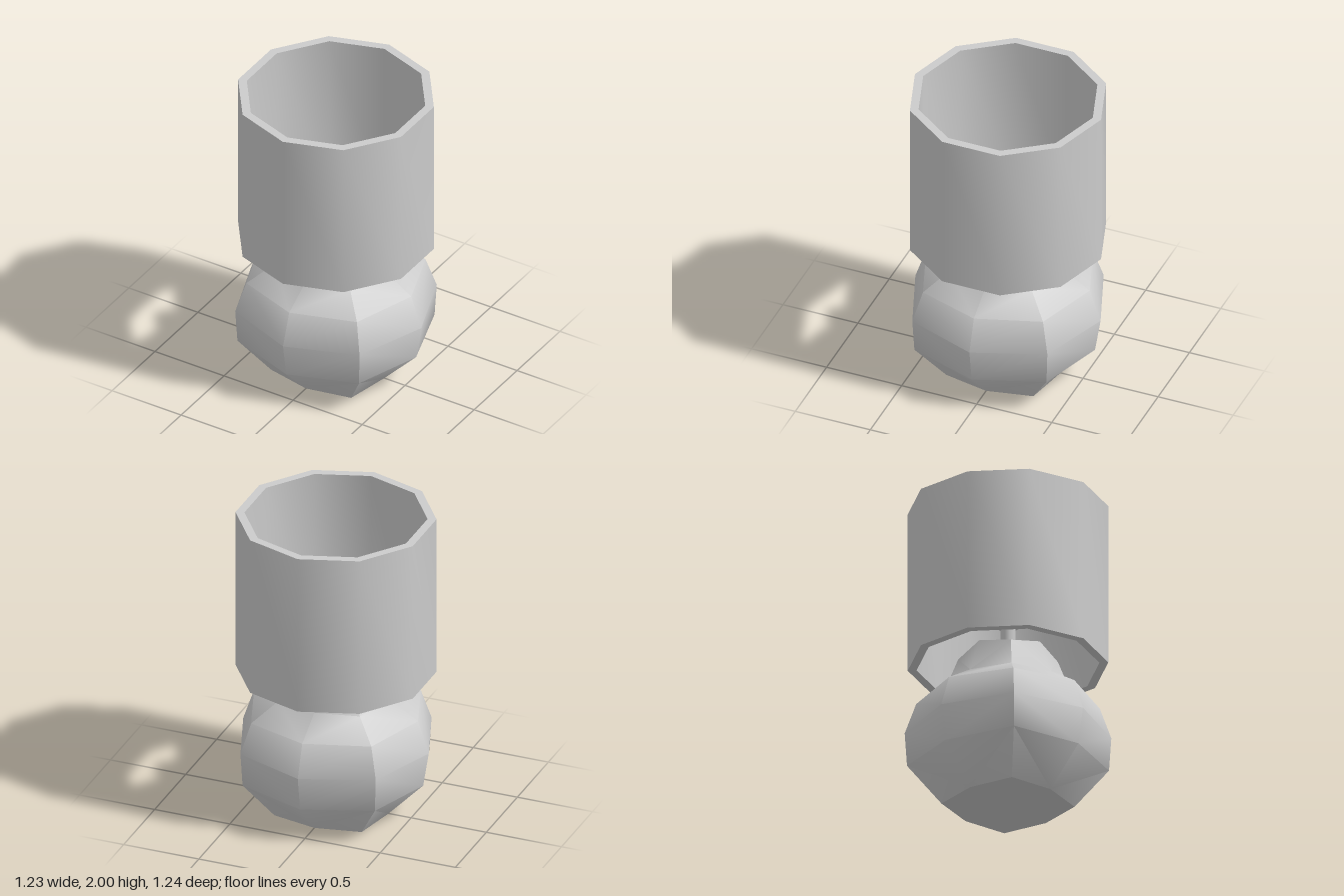
import * as THREE from 'three';
import { toCreasedNormals } from 'three/addons/utils/BufferGeometryUtils.js';

const CREASE = 0.8;
const material = new THREE.MeshStandardMaterial({ color: 0xcccccc });

function addPart(group, name, geometry, y = 0) {
  const mesh = new THREE.Mesh(geometry, material);
  mesh.name = name;
  mesh.position.y = y;
  group.add(mesh);
  return mesh;
}

// Skin eight-sided rings: each is [side reach, side y, corner x/z, corner y].
function ringBody(rings, capTop) {
  const positions = [];
  const index = [];
  for (const [side, sideY, corner, cornerY] of rings) {
    for (let i = 0; i < 8; i++) {
      const angle = (i * Math.PI) / 4;
      const r = i % 2 ? corner * Math.SQRT2 : side;
      positions.push(Math.sin(angle) * r, i % 2 ? cornerY : sideY, Math.cos(angle) * r);
    }
  }
  const last = (rings.length - 1) * 8;
  const bottom = rings.length * 8;
  positions.push(0, rings[0][1], 0, 0, capTop, 0);
  for (let i = 0; i < 8; i++) {
    const n = (i + 1) % 8;
    for (let k = 0; k < last; k += 8) {
      const a = k + i, b = k + n;
      // Split each quad from its corner-side vertex so both halves mirror.
      if (i % 2) index.push(a, b, a + 8, b, b + 8, a + 8);
      else index.push(a, b, b + 8, a, b + 8, a + 8);
    }
    index.push(bottom, n, i, bottom + 1, last + i, last + n);
  }
  const geometry = new THREE.BufferGeometry();
  geometry.setAttribute('position', new THREE.Float32BufferAttribute(positions, 3));
  geometry.setIndex(index);
  return toCreasedNormals(geometry, CREASE);
}

export function createModel() {
  const lamp = new THREE.Group();
  lamp.name = 'tableLamp';

  // Rounded, squarish base with a short neck
  addPart(lamp, 'base', ringBody([
    [0.35, 0, 0.29, 0],
    [0.58, 0.24, 0.44, 0.25],
    [0.617, 0.47, 0.45, 0.47],
    [0.545, 0.68, 0.4, 0.67],
    [0.35, 0.8, 0.27, 0.79],
    [0.262, 1.03, 0.217, 0.98],
  ], 1.04));

  // Stem and bulb inside the shade
  addPart(lamp, 'stem', new THREE.CylinderGeometry(0.047, 0.047, 0.22, 10), 1.13);
  const bulb = addPart(lamp, 'bulb', new THREE.SphereGeometry(0.11, 10, 8), 1.29);
  bulb.rotation.y = Math.PI / 2;

  // Open ten-sided shade with a wall thickness
  const profile = [[0.62, 0.94], [0.62, 2], [0.565, 2], [0.565, 0.94], [0.62, 0.94]]
    .map(([r, y]) => new THREE.Vector2(r, y));
  addPart(lamp, 'shade', toCreasedNormals(new THREE.LatheGeometry(profile, 10), CREASE));

  return lamp;
}
